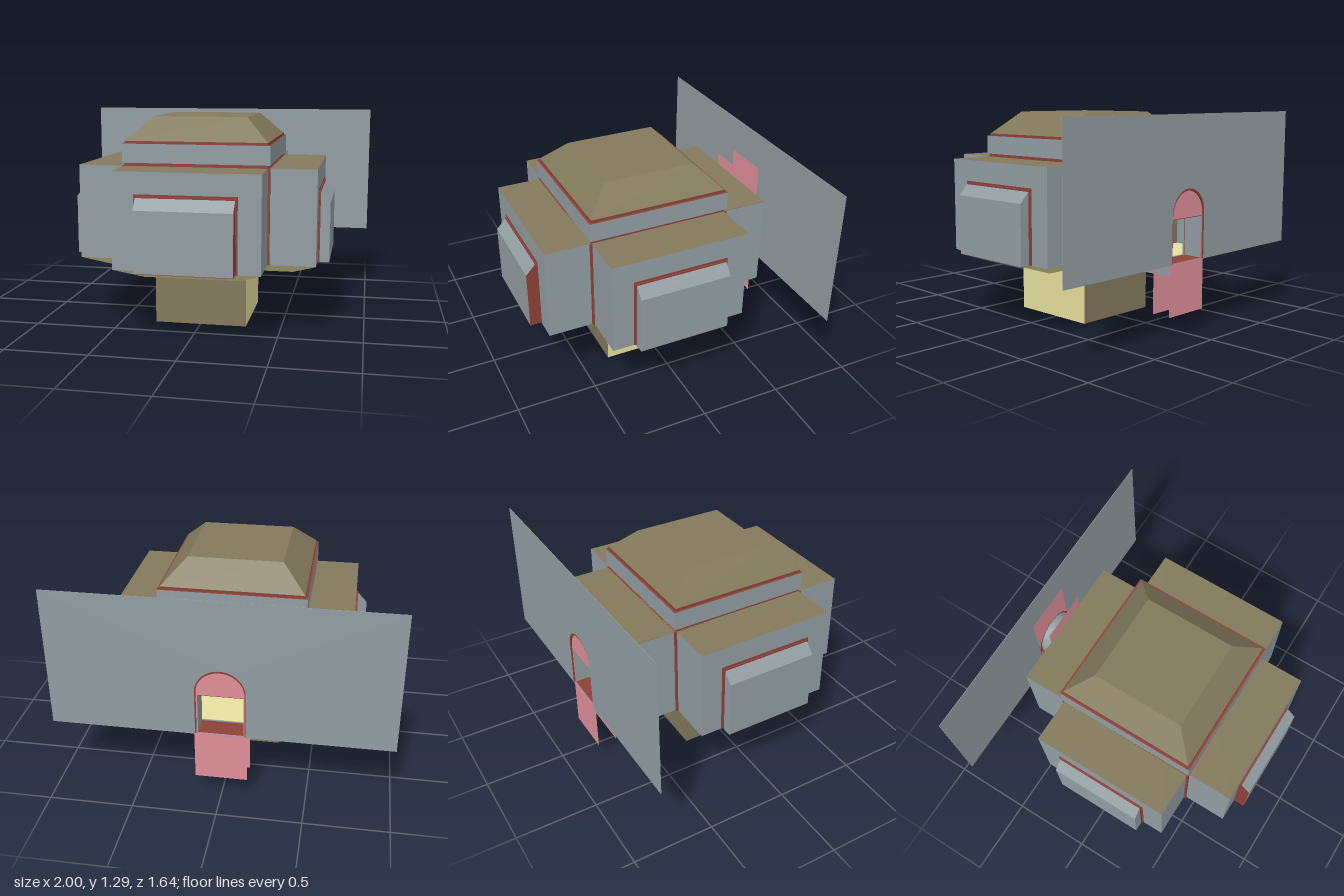
import * as THREE from 'three';

const mat = (name, color, side = THREE.FrontSide) => {
  const m = new THREE.MeshStandardMaterial({ color, side });
  m.name = name;
  return m;
};

export function createModel() {
  const grey = mat('greyWall', 0x929da2);
  const olive = mat('oliveRoof', 0x82795c);
  const yellow = mat('paleYellow', 0xe6e09e);
  const red = mat('redTrim', 0x8c4237);
  const pink = mat('pinkPanel', 0xe08f9b, THREE.DoubleSide);

  const model = new THREE.Group();
  const house = new THREE.Group();
  house.name = 'house';
  house.position.z = 0.035;
  model.add(house);

  const add = (parent, name, geometry, material) => {
    const mesh = new THREE.Mesh(geometry, material);
    mesh.name = name;
    parent.add(mesh);
    return mesh;
  };
  // Plain box given by its ranges
  const box = (parent, name, material, x0, x1, y0, y1, z0, z1) => {
    const g = new THREE.BoxGeometry(x1 - x0, y1 - y0, z1 - z0);
    g.translate((x0 + x1) / 2, (y0 + y1) / 2, (z0 + z1) / 2);
    return add(parent, name, g, material);
  };
  // Centred box whose bottom and top half sizes may differ
  const block = (name, material, y0, y1, bx, bz, tx = bx, tz = bz) => {
    const g = new THREE.BoxGeometry(2, y1 - y0, 2);
    const p = g.attributes.position;
    for (let i = 0; i < p.count; i++) {
      const top = p.getY(i) > 0;
      p.setX(i, p.getX(i) * (top ? tx : bx));
      p.setZ(i, p.getZ(i) * (top ? tz : bz));
    }
    g.computeVertexNormals();
    g.translate(0, (y0 + y1) / 2, 0);
    return add(house, name, g, material);
  };
  const polygon = (points, Kind = THREE.Shape) => new Kind(points.map(([x, y]) => new THREE.Vector2(x, y)));
  const rectangle = (x, y0, y1, Kind) => polygon([[-x, y0], [x, y0], [x, y1], [-x, y1]], Kind);
  const extrude = (parent, name, material, shape, z0, z1) => {
    const g = new THREE.ExtrudeGeometry(shape, { depth: z1 - z0, bevelEnabled: false, curveSegments: 16 });
    g.translate(0, 0, z0);
    return add(parent, name, g, material);
  };
  // Arched outline, round above the springing height
  const arch = (Kind, r, y0, top) => {
    const s = new Kind();
    s.moveTo(-r, y0);
    s.lineTo(r, y0);
    s.lineTo(r, top - r);
    s.absarc(0, top - r, r, 0, Math.PI, false);
    s.lineTo(-r, y0);
    return s;
  };

  // Base, with one pale side
  block('base', [yellow, olive, olive, olive, olive, olive], 0, 0.345, 0.285, 0.285);
  block('baseTrim', red, 0.345, 0.36, 0.288, 0.288);

  // Crossing arms with flat roofs and pale sloped undersides
  const armMats = [grey, grey, olive, yellow, grey, grey];
  block('sideArms', armMats, 0.43, 1.0, 0.715, 0.43);
  box(house, 'frontArm', armMats, -0.43, 0.43, 0.43, 1.0, 0, 0.715);
  block('sideArmsUnderside', yellow, 0.36, 0.43, 0.57, 0.285, 0.715, 0.43);
  block('frontBackArmsUnderside', yellow, 0.36, 0.43, 0.285, 0.57, 0.43, 0.715);

  // Rear arm, hollow behind its doorway
  const shell = rectangle(0.43, 0.43, 0.997);
  shell.holes.push(rectangle(0.4, 0.436, 0.8, THREE.Path));
  extrude(house, 'rearArm', grey, shell, -0.705, -0.43);
  const rearFace = rectangle(0.43, 0.43, 0.997);
  rearFace.holes.push(arch(THREE.Path, 0.135, 0.436, 0.83));
  extrude(house, 'rearArmFace', grey, rearFace, -0.715, -0.705);
  box(house, 'rearArmRoof', olive, -0.43, 0.43, 0.997, 1.0, -0.715, -0.43);
  box(house, 'roomFloor', yellow, -0.4, 0.4, 0.434, 0.439, -0.712, -0.43);
  box(house, 'roomCeiling', olive, -0.4, 0.4, 0.796, 0.801, -0.704, -0.43);
  box(house, 'roomEnd', olive, -0.4, 0.4, 0.436, 0.8, -0.45, -0.445);

  // Corner trim, upper band and roof
  block('cornerTrim', red, 0.43, 1.0, 0.443, 0.443);
  block('neckTrim', red, 1.0, 1.018, 0.432, 0.432);
  block('upperBand', [grey, grey, red, red, grey, grey], 1.018, 1.132, 0.443, 0.443);
  block('roofTrim', red, 1.132, 1.147, 0.43, 0.43);
  block('roof', olive, 1.147, 1.287, 0.427, 0.427, 0.285, 0.285);

  // Bay windows on three sides
  const bayProfile = polygon([[0.7, 0.43], [0.785, 0.43], [0.785, 0.79], [0.72, 0.86], [0.7, 0.86]]);
  const bays = [['leftBay', 0, grey, olive], ['rightBay', Math.PI, grey, olive], ['frontBay', -Math.PI / 2, red, red]];
  for (const [name, angle, ends, under] of bays) {
    const bay = new THREE.Group();
    bay.name = name;
    bay.rotation.y = angle;
    house.add(bay);
    extrude(bay, 'baySurface', [ends, grey], bayProfile, -0.285, 0.285);
    box(bay, 'bayTrim', red, 0.71, 0.718, 0.43, 0.872, -0.298, 0.298);
    box(bay, 'bayEdge', red, 0.715, 0.727, 0.43, 0.861, -0.287, 0.287);
    box(bay, 'bayUnderside', under, 0.715, 0.785, 0.427, 0.431, -0.285, 0.285);
  }

  // Arched shell open at the foot
  const archRing = (name, material, r, t, y0, top, z0, z1) => {
    const s = new THREE.Shape();
    const c = top - r;
    s.moveTo(r, y0);
    s.lineTo(r, c);
    s.absarc(0, c, r, 0, Math.PI, false);
    s.lineTo(-r, y0);
    s.lineTo(-r + t, y0);
    s.lineTo(-r + t, c);
    s.absarc(0, c, r - t, Math.PI, 0, true);
    s.lineTo(r - t, y0);
    return extrude(model, name, material, s, z0, z1);
  };

  // Rear passage, its inner stretch and its frames
  archRing('passage', grey, 0.14, 0.008, 0.36, 0.86, -0.808, -0.69);
  for (const side of [-1, 1]) {
    const x = side * 0.136;
    box(model, 'innerPassageFoot', grey, x - 0.004, x + 0.004, 0.36, 0.43, -0.676, -0.54);
  }
  archRing('innerFrame', red, 0.155, 0.015, 0.43, 0.862, -0.69, -0.68);
  archRing('outerFrame', red, 0.155, 0.015, 0.43, 0.862, -0.819, -0.809);
  box(model, 'passageFloor', red, -0.135, 0.135, 0.43, 0.436, -0.808, -0.69);

  // Side rails with a red ledge across the passage
  for (const side of [-1, 1]) {
    const rail = polygon([[0.135, 0.6], [0.14, 0.6], [0.155, 0.615], [0.155, 0.686], [0.135, 0.686]]
      .map(([x, y]) => [side * x, y]));
    extrude(model, 'passageRail', grey, rail, -0.808, -0.69);
  }
  box(model, 'passageLedge', red, -0.157, 0.157, 0.686, 0.691, -0.808, -0.69);

  // Upright panels around both ends of the passage
  for (const z of [-0.69, -0.81]) {
    const panel = rectangle(0.155, 0.12, 1.065);
    panel.holes.push(rectangle(0.132, 0.436, 0.69, THREE.Path));
    add(model, 'doorPanel', new THREE.ShapeGeometry(panel), pink).position.z = z;
  }

  // Large rear wall with an arched doorway
  const wall = rectangle(1, 0.43, 1.287);
  wall.holes.push(arch(THREE.Path, 0.147, 0.432, 0.86));
  extrude(model, 'rearWall', grey, wall, -0.822, -0.819);

  return model;
}
